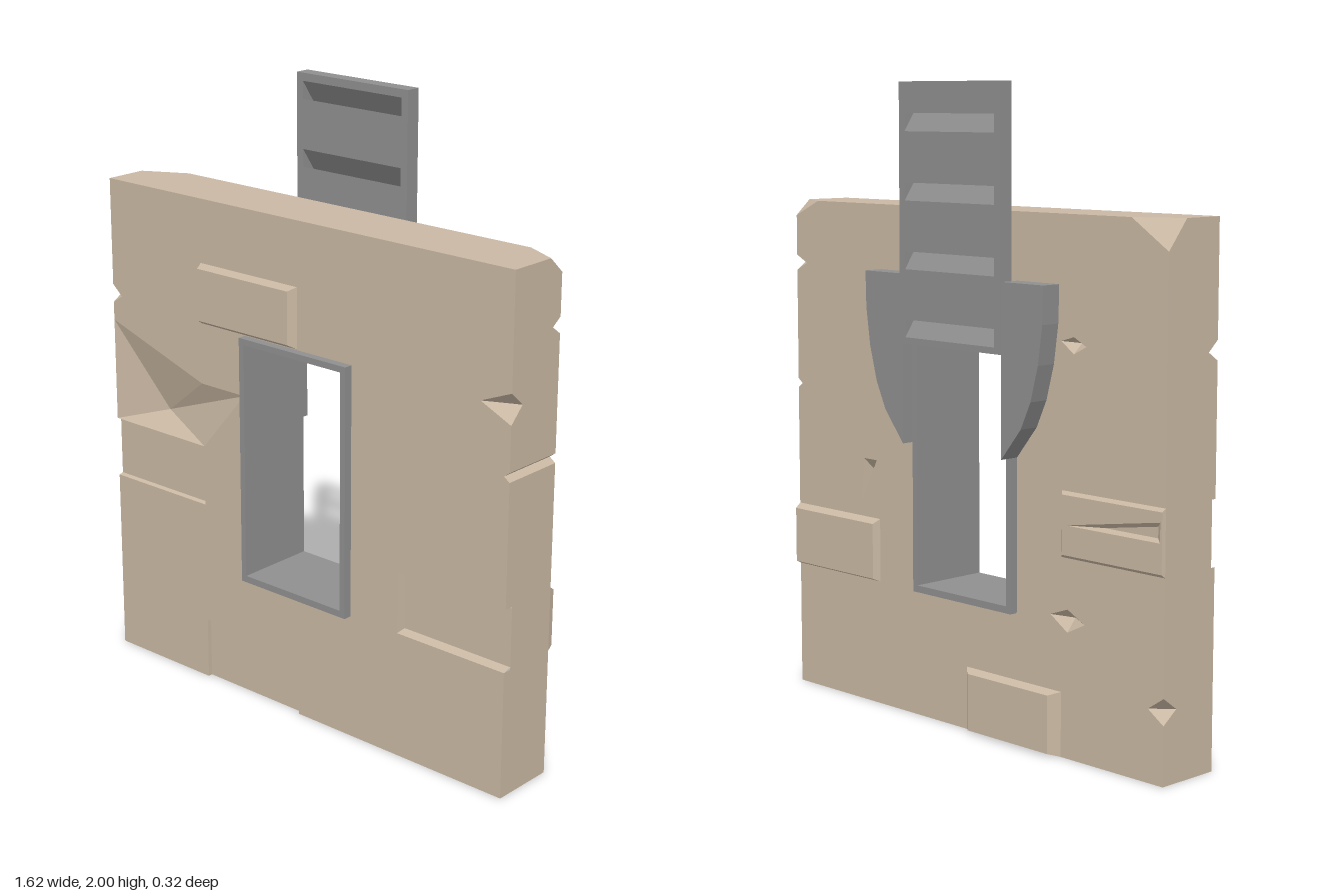
import * as THREE from 'three';

const stone = new THREE.MeshStandardMaterial({ color: 0xc9b8a3, flatShading: true });
const metal = new THREE.MeshStandardMaterial({ color: 0x8f8f8f, flatShading: true });
const W = 0.81, H = 1.62, F = 0.13, B = -0.085; // wall half width, height, front z, back z

const toShape = (pts) => new THREE.Shape(pts.map(([x, y]) => new THREE.Vector2(x, y)));
const rect = (x0, x1, y0, y1) => [[x0, y0], [x1, y0], [x1, y1], [x0, y1]];

// Collects triangles; each is turned so that it faces its outward hint
class Shell {
  positions = [];
  tri(a, b, c, out) {
    const [p, q, r] = [a, b, c].map((v) => new THREE.Vector3(...v));
    const n = q.clone().sub(p).cross(r.clone().sub(p));
    const order = n.dot(new THREE.Vector3(...out)) < 0 ? [p, r, q] : [p, q, r];
    order.forEach((v) => this.positions.push(v.x, v.y, v.z));
  }
  // flat outline with holes, placed in space
  panel(outline, holes, place, out) {
    const shape = toShape(outline);
    shape.holes = holes.map((h) => new THREE.Path(toShape(h).getPoints()));
    const g = new THREE.ShapeGeometry(shape);
    const p = g.attributes.position, at = (i) => place(p.getX(i), p.getY(i));
    const idx = g.index.array;
    for (let i = 0; i < idx.length; i += 3) this.tri(at(idx[i]), at(idx[i + 1]), at(idx[i + 2]), out);
  }
  // faceted hollow from a ring on a face down to one point
  pit(ring, z, apex, out) {
    ring.forEach(([x, y], i) => {
      const [x2, y2] = ring[(i + 1) % ring.length];
      this.tri([x, y, z], [x2, y2, z], apex, out);
    });
  }
  // chip out of a vertical edge
  chip(s, z, [y0, ym, y1], tipX, tipZ) {
    const tip = [s * tipX, ym, z], inner = [s * W, ym, tipZ], out = [s, 0, Math.sign(z)];
    this.tri([s * W, y0, z], tip, inner, out);
    this.tri([s * W, y1, z], tip, inner, out);
  }
  // raised or sunken brick; insets bevel the sides, `open` lists sides left out
  brick([x0, x1, y0, y1], z0, z1, [l, r, b, t], open = [], holes = []) {
    const base = rect(x0, x1, y0, y1), cap = rect(x0 + l, x1 - r, y0 + b, y1 - t);
    const dir = Math.sign(z0), k = (z1 - z0) * dir > 0 ? 1 : -1;
    [[0, -k, 0], [k, 0, 0], [0, k, 0], [-k, 0, 0]].forEach((out, i) => {
      if (open.includes(i)) return;
      const j = (i + 1) % 4;
      const [a, c, d, e] = [[...base[i], z0], [...base[j], z0], [...cap[j], z1], [...cap[i], z1]];
      this.tri(a, c, d, out);
      this.tri(a, d, e, out);
    });
    this.panel(cap, holes, (x, y) => [x, y, z1], [0, 0, dir]);
  }
  mesh(name) {
    const g = new THREE.BufferGeometry();
    g.setAttribute('position', new THREE.Float32BufferAttribute(this.positions, 3));
    g.computeVertexNormals();
    const m = new THREE.Mesh(g, stone);
    m.name = name;
    return m;
  }
}

function buildWall() {
  const s = new Shell();
  const opening = rect(-0.21, 0.21, 0.42, 1.21);
  const front = [0, 0, 1], back = [0, 0, -1];

  // front face, with sunken bricks, edge chips and the gouge cut from its outline
  const gouge = [[-W, 1.15], [-0.41, 1.02], [-0.225, 1.02], [-0.405, 0.81], [-W, 0.81]];
  s.panel([[-W, 0], [-0.405, 0], [-0.405, 0.205], [0, 0.205], [0, 0], [W, 0],
    [W, 0.41], [0.405, 0.41], [0.405, 0.61], [W, 0.61],
    [W, 1], [0.79, 1.015], [W, 1.03], [W, 1.17], [0.7, 1.22], [W, 1.265], [W, H],
    [-W, H], [-W, 1.27], [-0.77, 1.235], [-W, 1.21], ...gouge.slice(0, 4),
    [-0.405, 0.61], [-W, 0.61]], [opening], (x, y) => [x, y, F], front);
  s.pit(gouge, F, [-0.62, 0.87, 0.07], front);
  s.brick([-0.405, 0, 0, 0.205], F, 0.115, [0, 0, 0, 0], [0]);
  s.brick([0.405, W, 0.41, 0.61], F, 0.1, [0.005, 0, 0.008, 0.005], [1]);
  s.brick([-W, -0.405, 0.61, 0.81], F, 0.115, [0, 0.003, 0.004, 0.003], [3]);
  s.brick([-0.405, 0, 1.22, 1.415], F, 0.147, [0, 0.025, 0.012, 0.015]);

  // back face, with craters and a short crack
  const crater = (x, y, r) => [[x - r, y], [x, y - r * 0.5], [x + r, y + 0.01], [x, y + r * 0.5]];
  const pits = [crater(-0.43, 0.42, 0.07), crater(-0.45, 1.24, 0.05), [[0.5, 0.64], [0.42, 0.8], [0.48, 0.8]]];
  s.panel([[-W, 0], [W, 0], [W, 1], [0.79, 1.015], [W, 1.03], [W, 1.39], [0.76, 1.415], [W, 1.44],
    [W, 1.57], [0.7, H], [-0.67, H], [-W, 1.53], [-W, 0.26], [-0.75, 0.22], [-W, 0.18]],
  [opening, ...pits], (x, y) => [x, y, B], back);
  [[-0.43, 0.425], [-0.45, 1.245], [0.47, 0.76]].forEach(([x, y], i) => s.pit(pits[i], B, [x, y, B + 0.035], back));
  s.brick([-0.405, 0, 0, 0.2], B, -0.113, [0.03, 0.03, 0.008, 0.012]);
  s.brick([0.405, W, 0.405, 0.61], B, -0.107, [0.012, 0.005, 0.01, 0.015]);
  const wedge = [[-0.43, 0.71], [-0.8, 0.71], [-0.8, 0.77]];
  s.brick([-W, -0.405, 0.61, 0.81], B, -0.097, [0.003, 0.012, 0.01, 0.01], [], [wedge]);
  s.pit(wedge, -0.097, [-0.76, 0.735, -0.07], back);

  // side faces in (z, y); the left one is split by a groove
  const left = (z, y) => [W, y, z], right = (z, y) => [-W, y, z];
  s.panel([[B, 0], [F, 0], [F, 0.41], [0.1, 0.41], [0.1, 0.61], [F, 0.61], [F, 1], [B, 1]], [], left, [1, 0, 0]);
  s.panel([[B, 1.03], [F, 1.03], [F, 1.17], [0.08, 1.22], [F, 1.265], [F, H], [-0.03, H], [B, 1.57],
    [B, 1.44], [-0.05, 1.415], [B, 1.39]], [], left, [1, 0, 0]);
  s.panel([[B, 0], [F, 0], [F, 0.61], [0.115, 0.61], [0.115, 0.81], [F, 0.81], [F, 1.21], [0.09, 1.235],
    [F, 1.27], [F, H], [-0.01, H], [B, 1.53], [B, 0.26], [-0.03, 0.22], [B, 0.18]], [], right, [-1, 0, 0]);
  for (const y of [1, 1.03]) {
    s.tri([W, y, F], [W, y, B], [0.79, 1.015, B], [1, 0, 0]);
    s.tri([W, y, F], [0.79, 1.015, B], [0.79, 1.015, F], [1, 0, 0]);
  }
  s.chip(1, F, [1.17, 1.22, 1.265], 0.7, 0.08);
  s.chip(-1, F, [1.21, 1.235, 1.27], 0.77, 0.09);
  s.chip(1, B, [1.39, 1.415, 1.44], 0.76, -0.05);
  s.chip(-1, B, [0.18, 0.22, 0.26], 0.75, -0.03);

  // top with broken back corners, and underside
  s.panel([[-W, F], [W, F], [W, -0.03], [0.7, B], [-0.67, B], [-W, -0.01]], [], (x, z) => [x, H, z], [0, 1, 0]);
  s.tri([W, H, -0.03], [0.7, H, B], [W, 1.57, B], [1, 1, -1]);
  s.tri([-W, H, -0.01], [-0.67, H, B], [-W, 1.53, B], [-1, 1, -1]);
  s.panel([[-W, F], [-0.405, F], [-0.405, 0.115], [0, 0.115], [0, F], [W, F], [W, B], [-W, B]], [],
    (x, z) => [x, 0, z], [0, -1, 0]);
  return s.mesh('stoneWall');
}

function extrude(name, shape, depth, z) {
  const g = new THREE.ExtrudeGeometry(shape, { depth, bevelEnabled: false });
  const m = new THREE.Mesh(g.translate(0, 0, z), metal);
  m.name = name;
  return m;
}

// Raised shutter: two rails and slats whose gaps fall towards the back
function buildShutter() {
  const shutter = new THREE.Group();
  shutter.name = 'shutter';
  const zf = -0.112, zb = -0.16, y0 = 1.2, y1 = 2, drop = 0.07, gap = 0.055, step = 0.21;
  for (const s of [-1, 1]) {
    const rail = new THREE.Mesh(new THREE.BoxGeometry(0.025, y1 - y0, zf - zb), metal);
    rail.position.set(s * 0.2075, (y0 + y1) / 2, (zf + zb) / 2);
    rail.name = 'shutterRail';
    shutter.add(rail);
  }
  for (let i = 0; i <= 4; i++) {
    const top = i === 0 ? y1 : 1.92 - (i - 1) * step;
    const bottom = i === 4 ? y0 : 1.92 + gap - i * step;
    const topBack = i === 0 ? y1 : top - drop, bottomBack = i === 4 ? y0 : bottom - drop;
    // profile in (-z, y), swept across x
    const slat = extrude('shutterSlat', toShape([[-zf, bottom], [-zb, bottomBack], [-zb, topBack], [-zf, top]]), 0.39, -0.195);
    slat.rotation.y = Math.PI / 2;
    shutter.add(slat);
  }
  return shutter;
}

export function createModel() {
  const model = new THREE.Group();
  model.name = 'windowWall';
  model.add(buildWall());

  // window frame lining the opening
  const frame = toShape(rect(-0.218, 0.218, 0.408, 1.218));
  frame.holes.push(new THREE.Path(toShape(rect(-0.198, 0.198, 0.43, 1.198)).getPoints()));
  model.add(extrude('windowFrame', frame, 0.27, -0.112));

  // curved guide plates beside the opening
  for (const s of [-1, 1]) {
    const outline = [[0.218, 1.415], [0.39, 1.415], [0.387, 1.3], [0.37, 1.18], [0.34, 1.07], [0.3, 0.985], [0.218, 0.885]];
    model.add(extrude(s > 0 ? 'leftGuide' : 'rightGuide', toShape(outline.map(([x, y]) => [s * x, y])), 0.067, -0.152));
  }
  model.add(buildShutter());
  return model;
}
